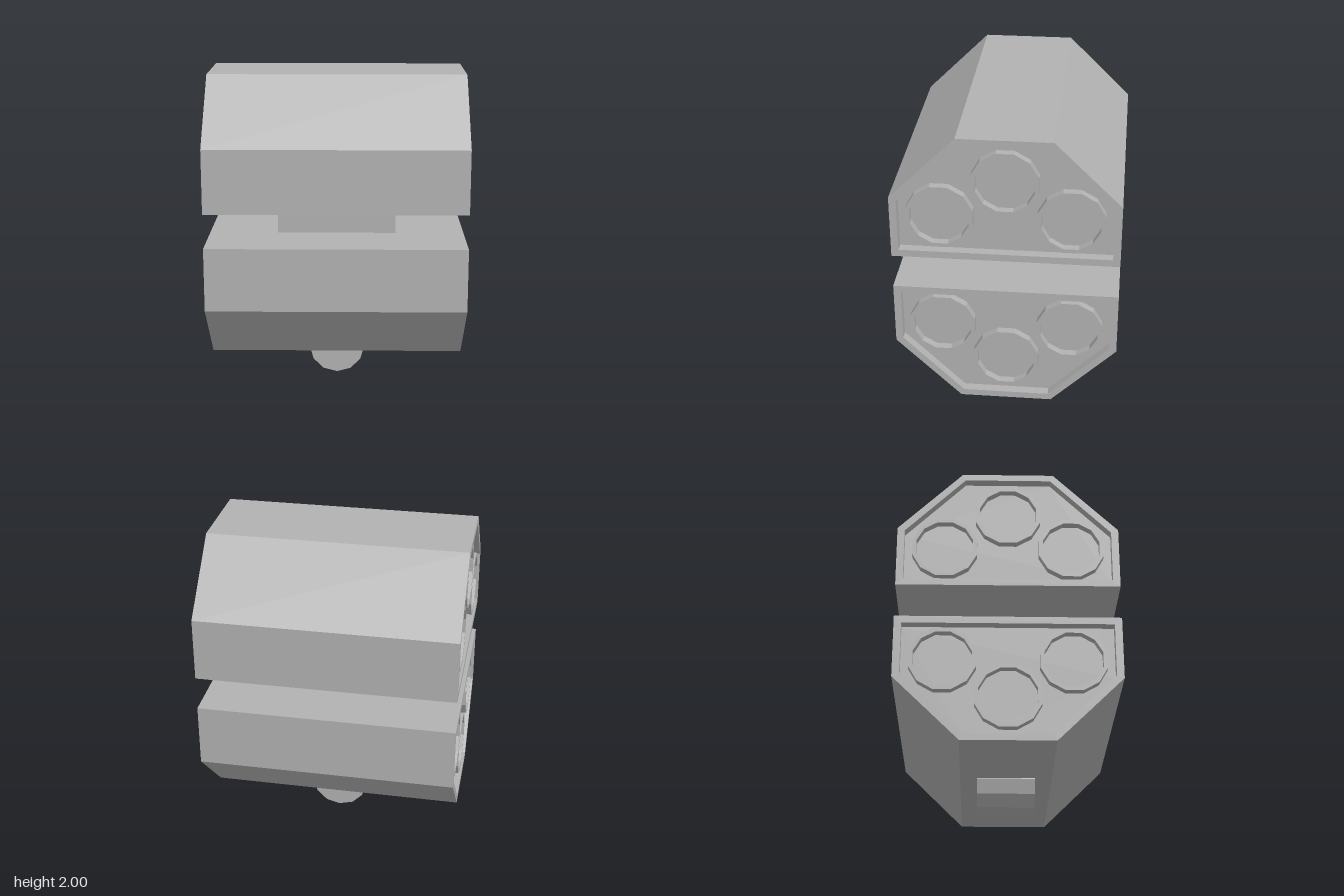
import * as THREE from 'three';

const HALF = 0.81;      // half length of a pod
const RECESS = 0.06;    // depth of the end recess
const RING = 0.05;      // how far the tube rims stand out

const grey = new THREE.MeshStandardMaterial({ color: 0xb2b2b2 });
grey.name = 'grey';

function mesh(name, geometry, x = 0, y = 0, z = 0) {
  const m = new THREE.Mesh(geometry, grey);
  m.name = name;
  m.position.set(x, y, z);
  return m;
}

// Six-cornered pod section: flat base, upright sides, chamfered shoulders
function section(base, side, shoulder, flat, top) {
  return [[-side, base], [side, base], [side, shoulder], [flat, top], [-flat, top], [-side, shoulder]]
    .map(([x, y]) => new THREE.Vector2(x, y));
}

function polygon(radius, sides) {
  return Array.from({ length: sides }, (_, i) => {
    const a = ((i + 0.5) / sides) * Math.PI * 2;
    return new THREE.Vector2(Math.cos(a) * radius, Math.sin(a) * radius);
  });
}

// Extrude an outline (with optional hole) along x, starting at x = 0
function prism(outline, hole, depth) {
  const shape = new THREE.Shape(outline);
  if (hole) shape.holes.push(new THREE.Path(hole));
  return new THREE.ExtrudeGeometry(shape, { depth, bevelEnabled: false }).rotateY(Math.PI / 2);
}

function createPod(name) {
  const pod = new THREE.Group();
  pod.name = name;
  const outer = section(0, 0.688, 0.4, 0.285, 0.8);
  const inner = section(0.045, 0.643, 0.382, 0.267, 0.758);

  // Casing open at both ends, closed by a shorter core
  pod.add(mesh('casing', prism(outer, inner, HALF * 2), -HALF));
  pod.add(mesh('core', prism(inner, null, (HALF - RECESS) * 2), -HALF + RECESS));

  // Three launch tube rims at each end
  const rim = prism(polygon(0.208, 12), polygon(0.182, 12), RING);
  for (const start of [HALF - RECESS, -HALF + RECESS - RING]) {
    for (const [y, z] of [[0.51, 0], [0.275, 0.392], [0.275, -0.392]]) {
      pod.add(mesh('tubeRim', rim, start, y, z));
    }
  }
  return pod;
}

export function createModel() {
  const model = new THREE.Group();
  model.name = 'twinPodLauncher';

  const upper = createPod('upperPod');
  upper.position.y = 1.2;
  const lower = createPod('lowerPod');
  lower.position.y = 0.985;
  lower.rotation.x = Math.PI;
  model.add(upper, lower);

  // Block joining the pods
  model.add(mesh('connector', new THREE.BoxGeometry(0.75, 0.215, 0.57), 0, 1.0925, 0));

  // Rounded mounting lug, half sunk into the lower pod
  const lug = new THREE.CylinderGeometry(0.18, 0.18, 0.36, 12).toNonIndexed();
  lug.rotateX(Math.PI / 2);
  lug.computeVertexNormals();
  model.add(mesh('mountingLug', lug, 0, 0.18, 0));

  return model;
}
